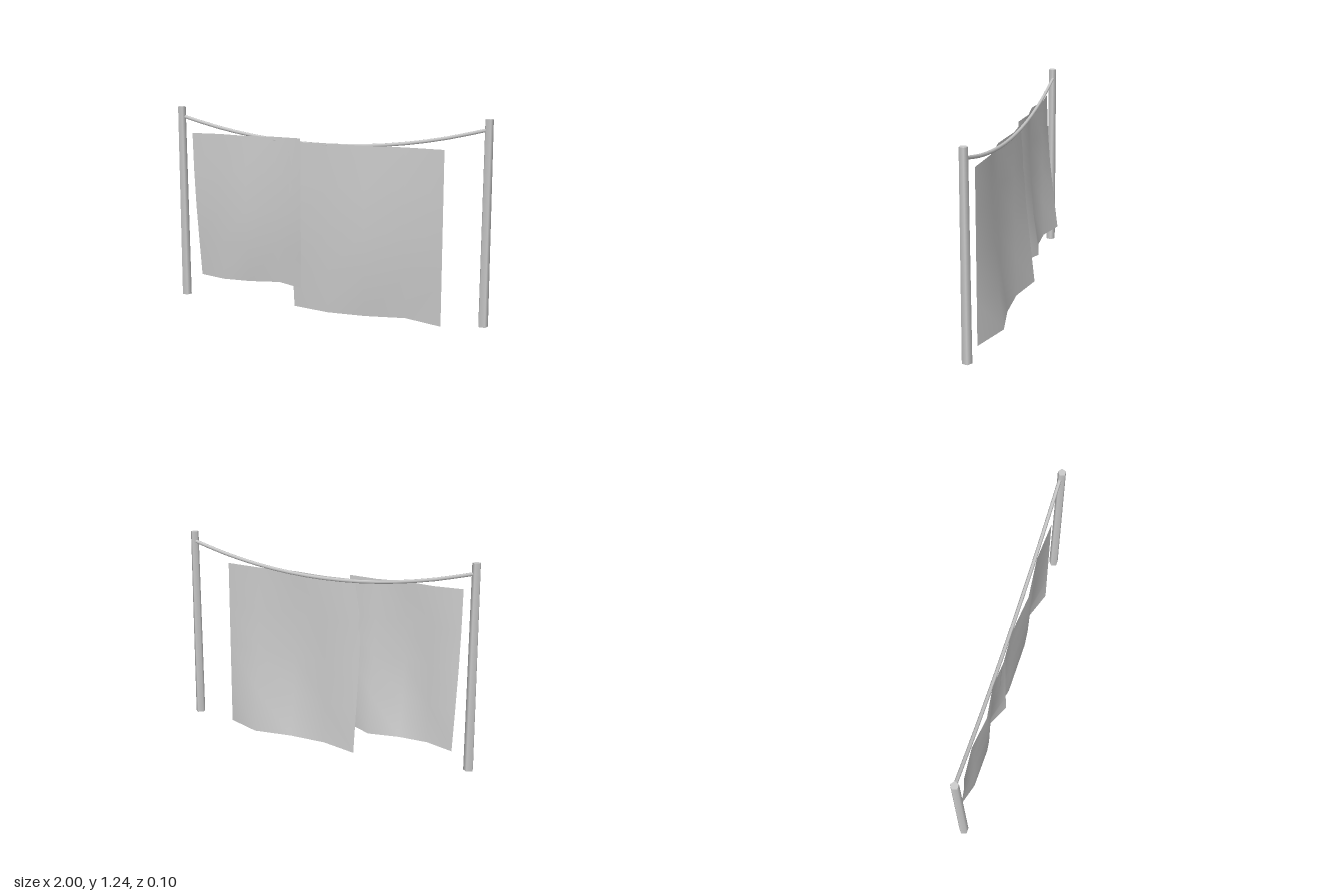
import * as THREE from 'three';

const material = new THREE.MeshStandardMaterial({ color: 0xcccccc });
const clothMaterial = new THREE.MeshStandardMaterial({ color: 0xcccccc, side: THREE.DoubleSide });

// Depth of the folds: rows run top to bottom, columns run from -x to +x
const folds = [
  [0.035, 0.02, 0.046, 0.02, 0.036],
  [0.026, 0.02, 0.052, 0.014, 0.036],
  [0.008, 0.018, 0.05, 0.002, 0.036],
  [-0.02, 0.013, 0.034, -0.02, 0.036],
  [-0.05, 0.005, -0.004, -0.05, 0.036],
];

function add(group, name, geometry, mat = material) {
  const mesh = new THREE.Mesh(geometry, mat);
  mesh.name = name;
  group.add(mesh);
  return mesh;
}

// Rectangular sheet pushed in and out by the fold grid
function sheet(x0, x1, y0, y1) {
  const geo = new THREE.PlaneGeometry(x1 - x0, y1 - y0, 4, 4);
  geo.translate((x0 + x1) / 2, (y0 + y1) / 2, 0);
  const pos = geo.attributes.position;
  for (let i = 0; i < pos.count; i++) pos.setZ(i, folds[Math.floor(i / 5)][i % 5]);
  geo.computeVertexNormals();
  return geo;
}

export function createModel() {
  const group = new THREE.Group();

  // Tapered five-sided posts
  for (const side of [-1, 1]) {
    const geo = new THREE.CylinderGeometry(0.025, 0.03, 1.21, 5);
    geo.rotateY(Math.PI);
    const post = add(group, side < 0 ? 'rightPost' : 'leftPost', geo);
    post.position.set(side * 0.97, 0.63, 0.017);
  }

  // Sagging line between the posts
  const points = [];
  for (let i = 0; i <= 8; i++) {
    const t = i / 4 - 1;
    points.push(new THREE.Vector3(t * 0.965, 1.04 + 0.135 * t * t, 0.011));
  }
  add(group, 'line', new THREE.TubeGeometry(new THREE.CatmullRomCurve3(points), 16, 0.011, 6));

  // Two hanging sheets, overlapping near the middle
  add(group, 'smallSheet', sheet(-0.89, -0.165, 0.145, 1.075), clothMaterial);
  add(group, 'largeSheet', sheet(-0.245, 0.722, 0, 1.052), clothMaterial);

  return group;
}
